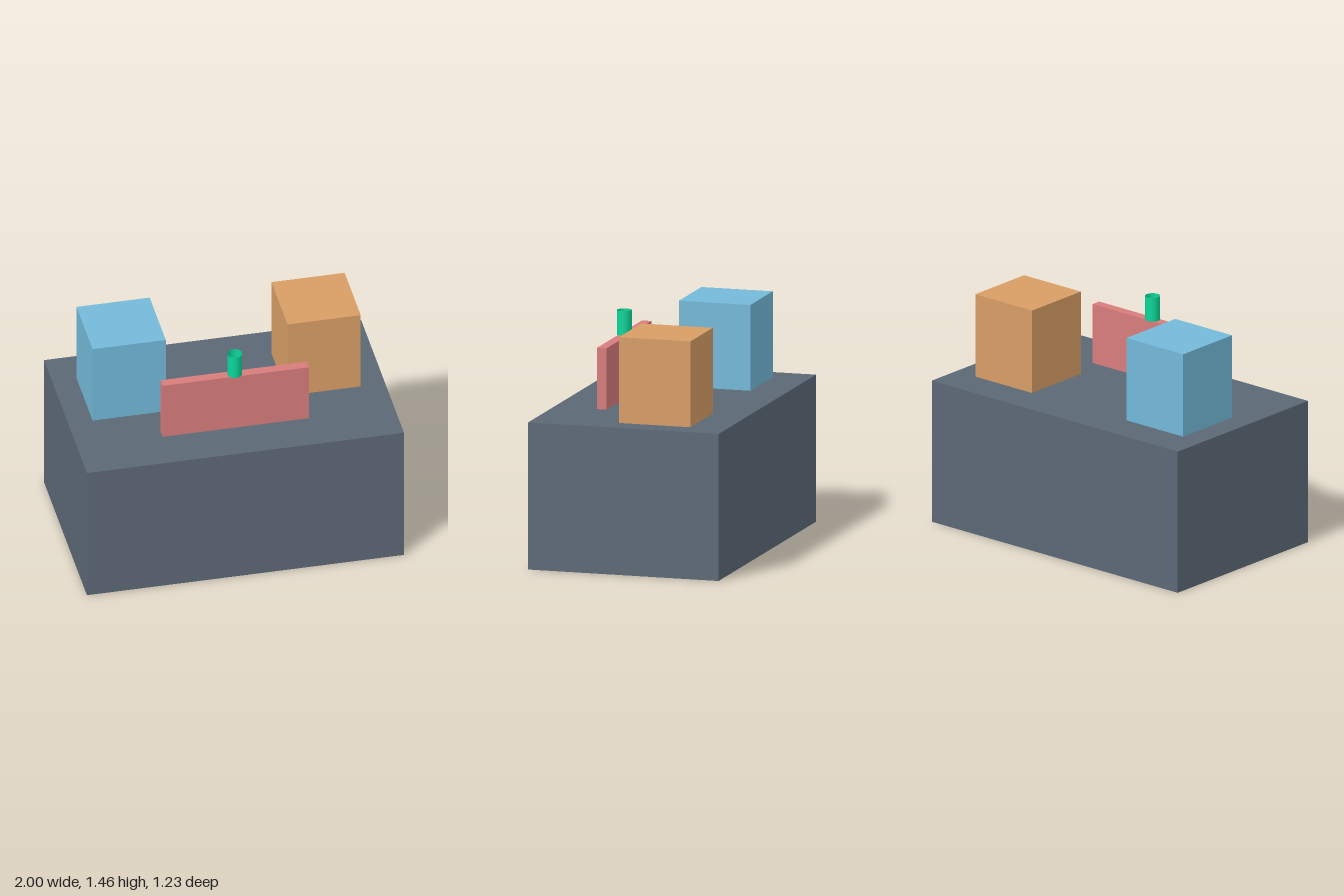
import * as THREE from 'three';

export function createModel() {
  const group = new THREE.Group();

  function add(name, geometry, color, x, y, z, side = THREE.FrontSide) {
    const mesh = new THREE.Mesh(geometry, new THREE.MeshStandardMaterial({ color, side }));
    mesh.name = name;
    mesh.position.set(x, y, z);
    group.add(mesh);
  }

  // Box standing on a given height
  function block(name, color, [w, h, d], x, bottom, z) {
    add(name, new THREE.BoxGeometry(w, h, d), color, x, bottom + h / 2, z);
  }

  const baseTop = 0.923;
  const panelTop = baseTop + 0.385;

  // Large base
  block('base', 0x5c6876, [2, baseTop, 1.231], 0, 0, 0);

  // Pair of blocks towards the back
  const blockSize = [0.4615, 0.5385, 0.4615];
  block('rightBlock', 0x73b9d9, blockSize, -0.615, baseTop, -0.154);
  block('leftBlock', 0xd89e66, blockSize, 0.615, baseTop, -0.154);

  // Thin upright panel near the front
  block('frontPanel', 0xd87c7c, [0.923, 0.385, 0.0615], 0, baseTop, 0.308);

  // Open tube standing on the panel
  add('tube', new THREE.CylinderGeometry(0.046, 0.046, 0.154, 32, 1, true), 0x0ad69a,
    0, panelTop + 0.077, 0.308, THREE.DoubleSide);

  return group;
}
